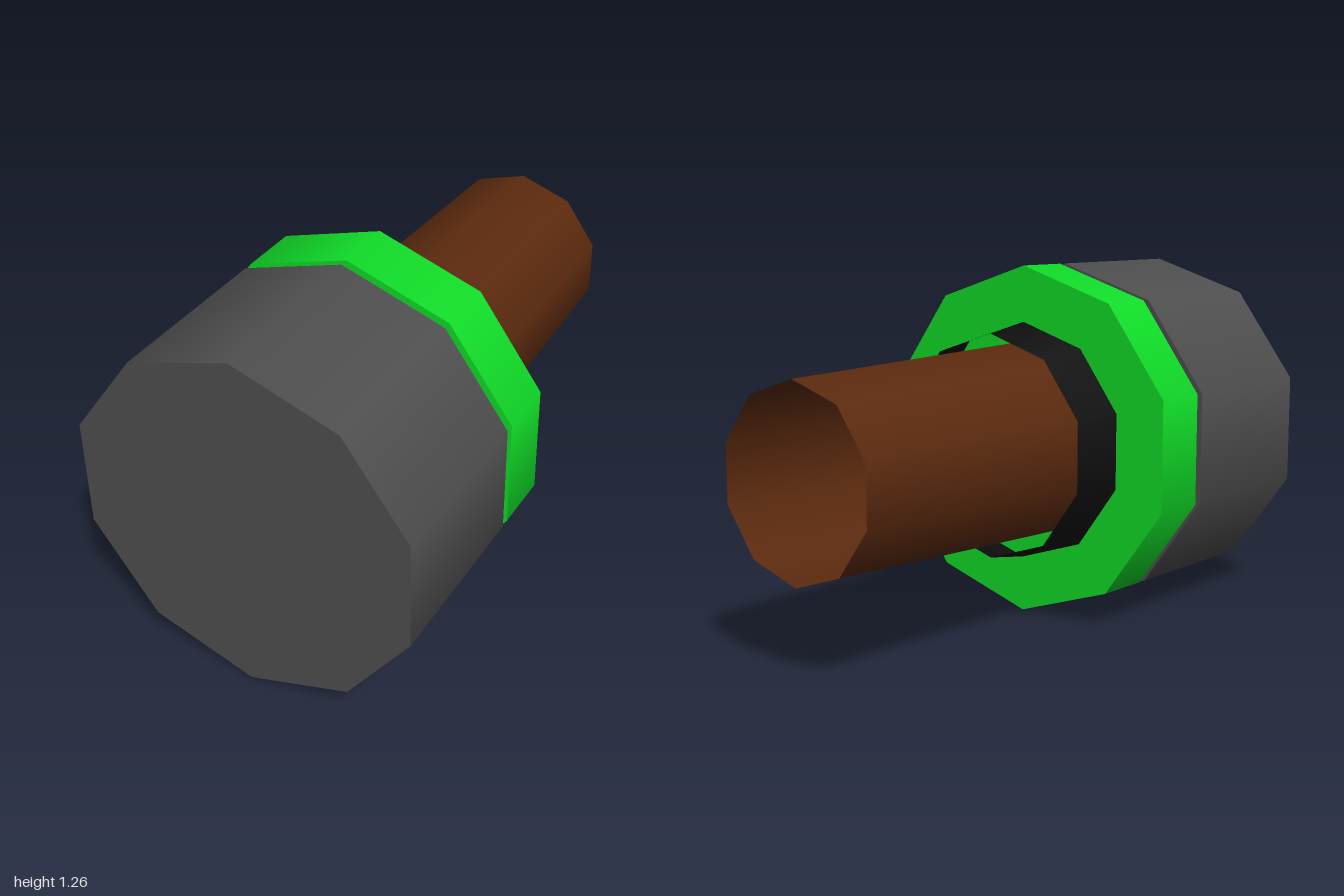
import * as THREE from 'three';

const AXIS_Y = 0.63;

// Ten-sided section along z, from zBack to zFront, with a corner pointing up
function section(name, color, zBack, zFront, rBack, rFront, open = false) {
  const geometry = new THREE.CylinderGeometry(rFront, rBack, zFront - zBack, 10, 1, open);
  geometry.rotateX(Math.PI / 2);
  const material = new THREE.MeshStandardMaterial({ color });
  if (open) material.side = THREE.DoubleSide;
  const mesh = new THREE.Mesh(geometry, material);
  mesh.name = name;
  mesh.position.set(0, AXIS_Y, (zBack + zFront) / 2);
  return mesh;
}

export function createModel() {
  const model = new THREE.Group();
  model.name = 'model';
  model.add(
    // solid front drum and the separate disc behind it
    section('frontDrum', 0x4f4f4f, 0.37, 1, 0.63, 0.63),
    section('greenDisc', 0x10dd28, 0.125, 0.34, 0.63, 0.63),
    // open tapered collar around the handle
    section('collar', 0x0d0d0d, -0.06, 0.125, 0.4, 0.43, true),
    // hollow handle, narrowing towards the back
    section('handle', 0x5c2a0e, -1, 0.125, 0.325, 0.36, true),
  );
  return model;
}
